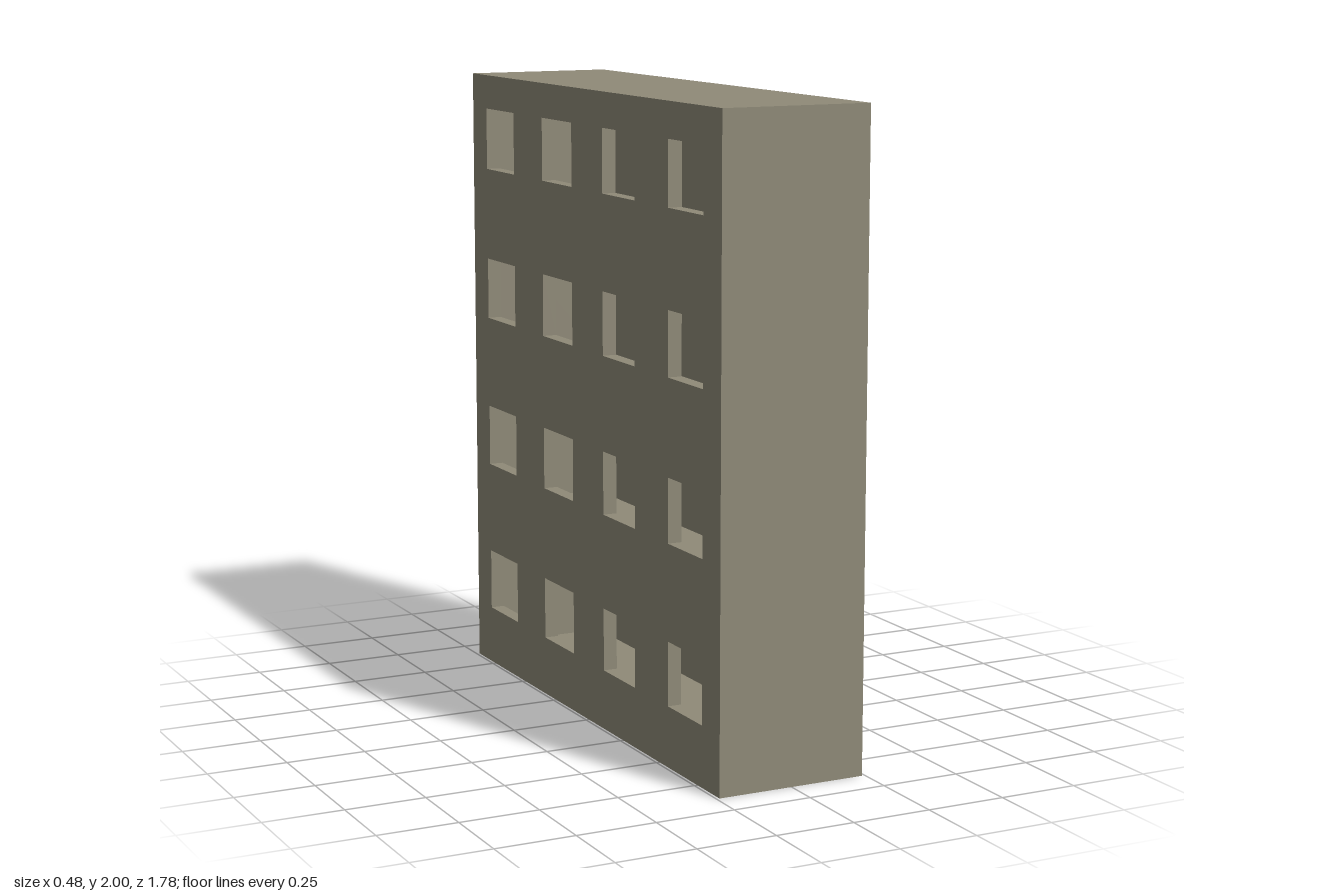
import * as THREE from 'three';

const W = 0.48, H = 2, D = 1.78;          // overall size
const WALL = 0.045, STOREYS = 4, BAYS = 4;
const STOREY = H / STOREYS, BAY = D / BAYS;
const WIN_W = BAY / 2, WIN_H = 0.2, SILL = 0.19;

const bayCentre = (i) => -D / 2 + BAY * (i + 0.5);

// Box with only some of its sides (0..5 = +x -x +y -y +z -z), optionally facing inward
function boxSides(w, h, d, sides, inward = false) {
  const geo = new THREE.BoxGeometry(w, h, d);
  const all = Array.from(geo.index.array);
  const index = [];
  for (const s of sides) {
    for (let k = s * 6; k < s * 6 + 6; k += 3) {
      const [a, b, c] = all.slice(k, k + 3);
      index.push(...(inward ? [a, c, b] : [a, b, c]));
    }
  }
  geo.setIndex(index);
  geo.clearGroups();
  if (inward) {
    const n = geo.attributes.normal;
    for (let i = 0; i < n.array.length; i++) n.array[i] *= -1;
  }
  return geo;
}

// Flat rectangle pierced by the windows of the given storeys
function piercedSheet(halfWidth, y0, y1, storeys) {
  const rect = (path, x0, b, x1, t) =>
    path.moveTo(x0, b).lineTo(x1, b).lineTo(x1, t).lineTo(x0, t).closePath();
  const shape = new THREE.Shape();
  rect(shape, -halfWidth, y0, halfWidth, y1);
  for (const s of storeys) {
    for (let i = 0; i < BAYS; i++) {
      const hole = new THREE.Path(), c = bayCentre(i), b = s * STOREY + SILL;
      rect(hole, c - WIN_W / 2, b, c + WIN_W / 2, b + WIN_H);
      shape.holes.push(hole);
    }
  }
  return new THREE.ShapeGeometry(shape);
}

export function createModel() {
  const group = new THREE.Group();
  const concrete = new THREE.MeshStandardMaterial({ color: 0x8f8a78 });
  concrete.name = 'concrete';

  const add = (name, geo, x, y, z) => {
    const mesh = new THREE.Mesh(geo, concrete);
    mesh.name = name;
    mesh.position.set(x, y, z);
    group.add(mesh);
  };

  // Plain outer walls, roof and base
  add('outerWalls', boxSides(W, H, D, [0, 2, 3, 4, 5]), 0, H / 2, 0);

  // Windowed face of the block
  const floors = Array.from({ length: STOREYS }, (_, s) => s);
  add('windowFacade', piercedSheet(D / 2, 0, H, floors).rotateY(-Math.PI / 2), -W / 2, 0, 0);

  const roomW = W - 2 * WALL, roomD = D - 2 * WALL;
  for (const s of floors) {
    // Hollow storey, with a floor slab below it and a roof above the last
    const y0 = s * STOREY + WALL;
    const y1 = s === STOREYS - 1 ? H - WALL : (s + 1) * STOREY;
    add('storeyInterior', boxSides(roomW, y1 - y0, roomD, [0, 2, 3, 4, 5], true), 0, (y0 + y1) / 2, 0);
    add('facadeLining', piercedSheet(roomD / 2, y0, y1, [s]).rotateY(Math.PI / 2), -W / 2 + WALL, 0, 0);

    // Sill, lintel and jambs of each window
    for (let i = 0; i < BAYS; i++) {
      add('windowReveal', boxSides(WALL, WIN_H, WIN_W, [2, 3, 4, 5], true),
        (WALL - W) / 2, s * STOREY + SILL + WIN_H / 2, bayCentre(i));
    }
  }
  return group;
}
